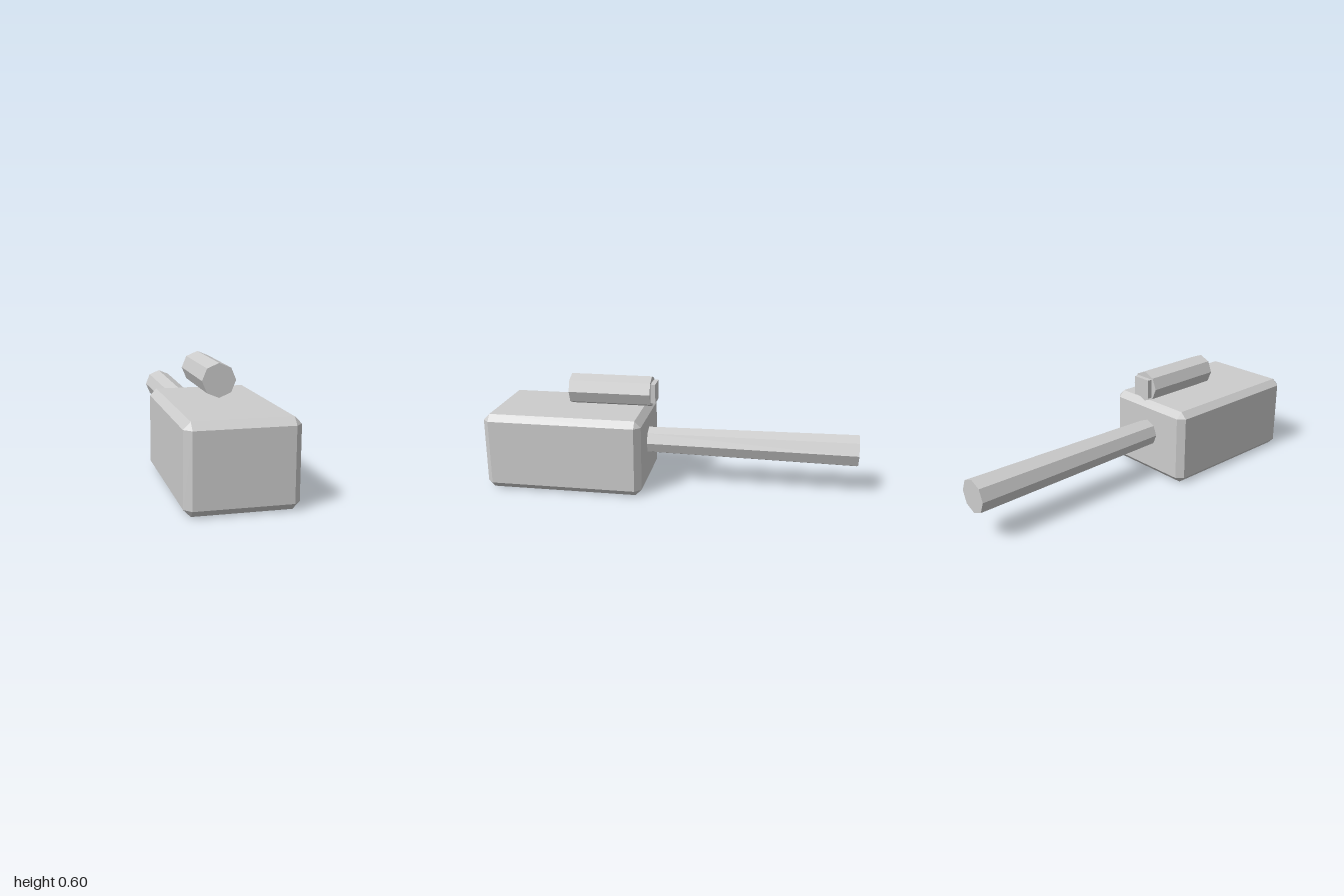
import * as THREE from 'three';
import { ConvexGeometry } from 'three/addons/geometries/ConvexGeometry.js';

const grey = new THREE.MeshStandardMaterial({ color: 0xcccccc, flatShading: true });
grey.name = 'grey';

// Box with every edge cut at 45 degrees and a triangle at each corner
function chamferedBox(width, height, depth, cut) {
  const half = [width / 2, height / 2, depth / 2];
  const points = [];
  for (const sx of [-1, 1]) for (const sy of [-1, 1]) for (const sz of [-1, 1]) {
    for (let face = 0; face < 3; face++) {
      const [x, y, z] = half.map((h, axis) => (axis === face ? h : h - cut));
      points.push(new THREE.Vector3(sx * x, sy * y, sz * z));
    }
  }
  return new ConvexGeometry(points);
}

// Eight-sided rod along z, with a corner pointing straight up
function rod(backRadius, frontRadius, length) {
  return new THREE.CylinderGeometry(frontRadius, backRadius, length, 8).rotateX(Math.PI / 2);
}

export function createModel() {
  const model = new THREE.Group();
  model.name = 'mallet';

  const add = (name, geometry, y, z) => {
    const mesh = new THREE.Mesh(geometry, grey);
    mesh.name = name;
    mesh.position.set(0, y, z);
    model.add(mesh);
  };

  // Heavy block with chamfered edges
  add('head', chamferedBox(0.53, 0.42, 0.863, 0.034), 0.21, 0.5685);

  // Handle, widening towards its back end
  add('handle', rod(0.089, 0.074, 1.15), 0.24, -0.425);

  // Separate rod above the head, with a square stub at its back
  add('upperRod', rod(0.084, 0.084, 0.447), 0.519, 0.3415);
  add('upperRodStub', new THREE.BoxGeometry(0.104, 0.104, 0.06), 0.519, 0.122);

  return model;
}
